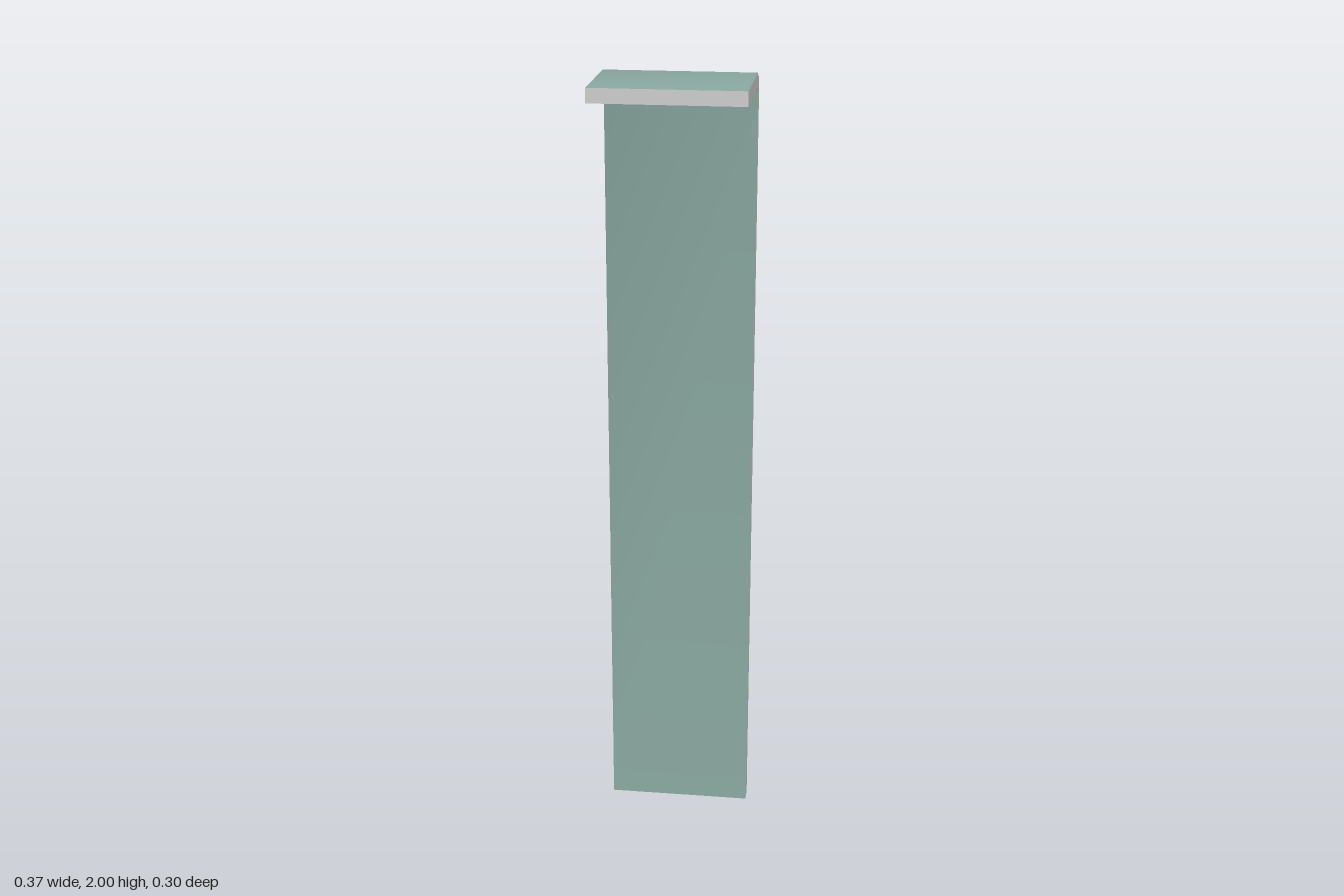
import * as THREE from 'three';
import { toCreasedNormals } from 'three/addons/utils/BufferGeometryUtils.js';

const WIDTH = 0.37;

// Bent strip cross-section as (z, y)
const PROFILE = [
  [-0.151, 0], [-0.108, 0],
  [-0.108, 1.948], [-0.104, 1.96], [-0.091, 1.965], // inner bend
  [0.151, 1.965], [0.151, 2],
  [-0.102, 2], [-0.134, 1.986], [-0.151, 1.956], // outer bend
];

// Copy of a non-indexed geometry holding only the triangles that pass the test
function pickTriangles(geometry, test) {
  const position = geometry.attributes.position;
  const normal = geometry.attributes.normal;
  const points = [], normals = [];
  const centre = new THREE.Vector3(), corner = new THREE.Vector3();
  for (let i = 0; i < position.count; i += 3) {
    centre.set(0, 0, 0);
    for (let k = 0; k < 3; k++) centre.addScaledVector(corner.fromBufferAttribute(position, i + k), 1 / 3);
    if (!test(centre)) continue;
    for (let k = i; k < i + 3; k++) {
      points.push(position.getX(k), position.getY(k), position.getZ(k));
      normals.push(normal.getX(k), normal.getY(k), normal.getZ(k));
    }
  }
  const picked = new THREE.BufferGeometry();
  picked.setAttribute('position', new THREE.Float32BufferAttribute(points, 3));
  picked.setAttribute('normal', new THREE.Float32BufferAttribute(normals, 3));
  return picked;
}

export function createModel() {
  const group = new THREE.Group();
  group.name = 'angleBracket';

  // Extrude the section across the width of the strip
  const shape = new THREE.Shape(PROFILE.map(([z, y]) => new THREE.Vector2(z, y)));
  let strip = new THREE.ExtrudeGeometry(shape, { depth: WIDTH, bevelEnabled: false });
  strip.translate(0, 0, -WIDTH / 2).rotateY(-Math.PI / 2);
  strip = toCreasedNormals(strip, 0.55);

  // Cut edges are bare, the broad faces are coated
  const isCutEdge = (c) => Math.abs(c.x) > WIDTH / 2 - 0.001 || c.y < 0.001 || c.z > 0.15;
  const addPart = (name, color, test) => {
    const mesh = new THREE.Mesh(pickTriangles(strip, test), new THREE.MeshStandardMaterial({ color }));
    mesh.name = name;
    group.add(mesh);
  };
  addPart('coatedFaces', 0x8aa9a1, (c) => !isCutEdge(c));
  addPart('cutEdges', 0xcccccc, isCutEdge);

  return group;
}
